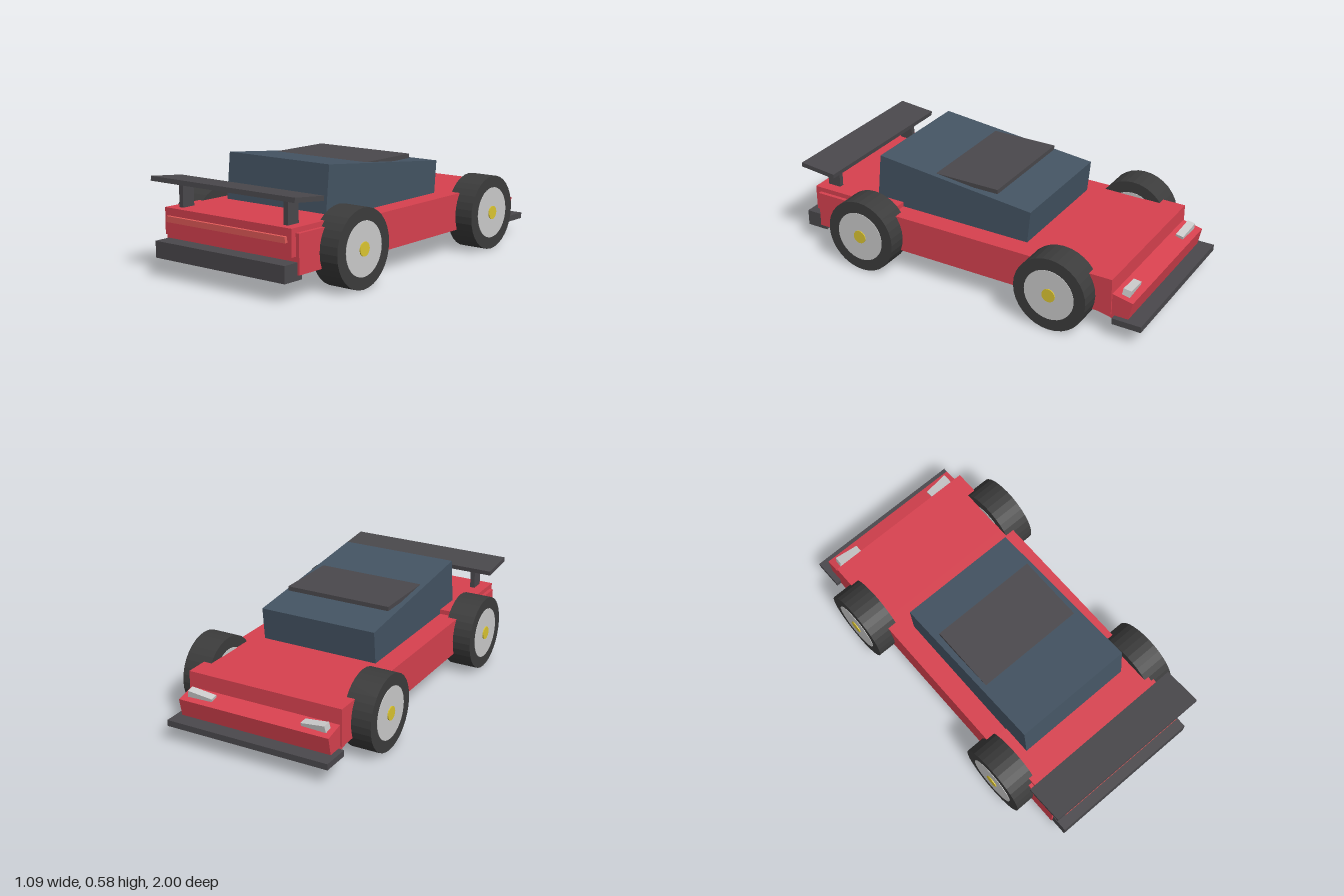
import * as THREE from 'three';

const mat = (color) => new THREE.MeshStandardMaterial({ color, flatShading: true });

export function createModel() {
  const car = new THREE.Group();
  car.name = 'raceCar';

  const red = mat(0xd8414f), glass = mat(0x445463), dark = mat(0x4a484c);
  const rubber = mat(0x3c3c3c), silver = mat(0xdcdce0), gold = mat(0xdcc632);
  const lampRed = mat(0xe25a58), lampGrey = mat(0xbcbcbc);

  // Box given by size, centre and tilt
  function box(name, material, [w, h, d], [x, y, z], rot = [0, 0, 0], parent = car) {
    const mesh = new THREE.Mesh(new THREE.BoxGeometry(w, h, d), material);
    mesh.name = name;
    mesh.position.set(x, y, z);
    mesh.rotation.set(...rot);
    parent.add(mesh);
    return mesh;
  }

  // Cylinder lying along x
  function disc(name, material, radius, width, sides, parent) {
    const geo = new THREE.CylinderGeometry(radius, radius, width, sides).rotateZ(Math.PI / 2);
    const mesh = new THREE.Mesh(geo, material);
    mesh.name = name;
    parent.add(mesh);
  }

  // Body: hood, middle and tail, with the raised rear deck and sloping nose
  box('hood', red, [0.86, 0.195, 0.395], [0, 0.2175, -0.6325]);
  box('midBody', red, [0.87, 0.195, 0.87], [0, 0.2175, 0]);
  box('tailBody', red, [0.86, 0.195, 0.475], [0, 0.2175, 0.6725]);
  box('rearDeck', red, [0.82, 0.135, 0.505], [0, 0.2725, 0.6875]);
  box('nose', red, [0.84, 0.133, 0.3], [0, 0.176, -0.778], [-0.21, 0, 0]);

  // Cabin wedge, tilted down to the nose, with a level roof panel
  const tilt = 0.1015, cabinH = 0.28;
  box('cabin', glass, [0.65, cabinH, 0.897],
    [0, 0.5325 - (cabinH / 2) * Math.cos(tilt), 0.1205 + (cabinH / 2) * Math.sin(tilt)], [-tilt, 0, 0]);
  box('roofPanel', dark, [0.59, 0.023, 0.4], [0, 0.5335, 0.08]);

  // Bumpers and tail light
  box('frontBumper', dark, [0.9, 0.032, 0.155], [0, 0.1, -0.9225]);
  box('rearBumper', dark, [0.84, 0.085, 0.12], [0, 0.1375, 0.94]);
  box('tailLight', lampRed, [0.77, 0.03, 0.03], [0, 0.286, 0.942]);

  // Rear wing
  box('wing', dark, [0.93, 0.024, 0.205], [0, 0.472, 0.876], [-0.1, 0, 0]);

  for (const side of [-1, 1]) {
    box('wingSupport', dark, [0.026, 0.135, 0.075], [side * 0.34, 0.3975, 0.86]);
    box('headlight', lampGrey, [0.135, 0.04, 0.042], [side * 0.32, 0.226, -0.884], [-0.15, side * 0.04, side * 0.15]);

    // Wheels
    for (const [end, z] of [['front', -0.547], ['rear', 0.568]]) {
      const wheel = new THREE.Group();
      wheel.name = `${end}Wheel`;
      wheel.position.set(side * 0.46, 0.198, z);
      disc('tyre', rubber, 0.198, 0.15, 32, wheel);
      disc('rim', silver, 0.136, 0.155, 32, wheel);
      disc('hubCap', gold, 0.036, 0.165, 16, wheel);
      car.add(wheel);
    }
  }
  return car;
}
